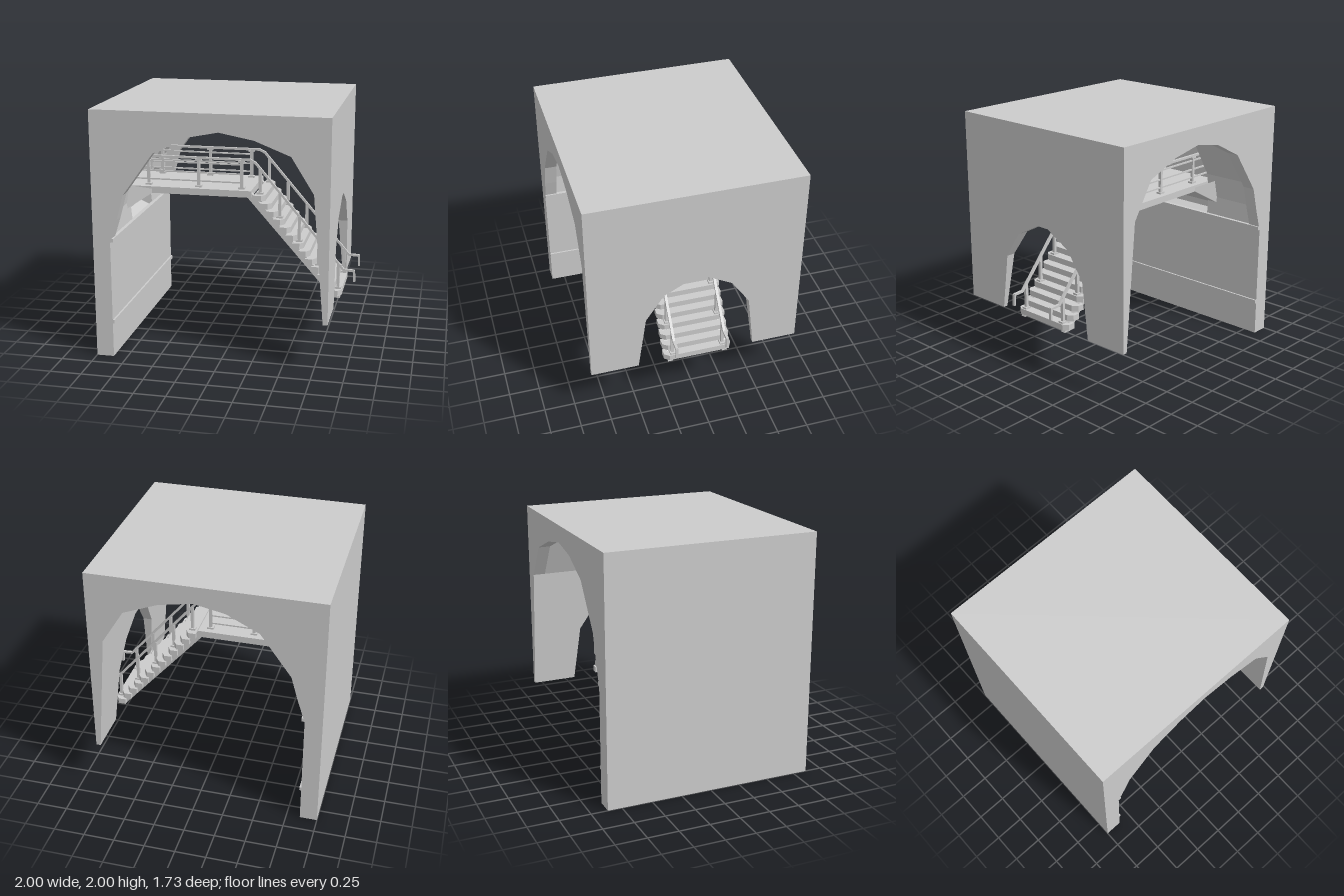
import * as THREE from 'three';

const mat = new THREE.MeshStandardMaterial({ color: 0xcccccc, flatShading: true, side: THREE.DoubleSide });

function add(parent, name, geo) {
  const m = new THREE.Mesh(geo, mat);
  m.name = name;
  parent.add(m);
  return m;
}

function box(parent, name, x0, x1, y0, y1, z0, z1) {
  const m = add(parent, name, new THREE.BoxGeometry(x1 - x0, y1 - y0, z1 - z0));
  m.position.set((x0 + x1) / 2, (y0 + y1) / 2, (z0 + z1) / 2);
  return m;
}

// Strip of quads between two point lists of equal length
function loft(parent, name, a, b) {
  const pos = [];
  for (let i = 0; i + 1 < a.length; i++)
    pos.push(...a[i], ...b[i], ...b[i + 1], ...a[i], ...b[i + 1], ...a[i + 1]);
  const g = new THREE.BufferGeometry();
  g.setAttribute('position', new THREE.Float32BufferAttribute(pos, 3));
  g.computeVertexNormals();
  return add(parent, name, g);
}

const shapeOf = pts => new THREE.Shape(pts.map(p => new THREE.Vector2(...p)));
const at = (pts, z) => pts.map(([x, y]) => [x, y, z]);
const sweep = (parent, name, pts, z0, z1) => loft(parent, name, at(pts, z0), at(pts, z1));

// Square bar between two points in the xy plane
function bar(parent, name, [x0, y0], [x1, y1], z, w) {
  const m = add(parent, name, new THREE.BoxGeometry(Math.hypot(x1 - x0, y1 - y0) + w * 0.5, w, w * 1.2));
  m.position.set((x0 + x1) / 2, (y0 + y1) / 2, z);
  m.rotation.z = Math.atan2(y1 - y0, x1 - x0);
}

const X0 = -1, X1 = 0.857, Z = 0.865, RIM = 0.765, FOOT = 0.4;
const ZA = -0.3, ZB = 0.27; // walkway edges

// Mouth of the tunnel, wider vault behind it, and the vault over the walkway
const mouth = [[-0.86, 0.95], [-0.8, 1.14], [-0.745, 1.34], [-0.5, 1.68], [-0.24, 1.81],
  [0.01, 1.86], [0.28, 1.81], [0.56, 1.7], [0.735, 1.42]];
const vault = [[-0.86, 0.95], [-0.88, 1.14], [-0.85, 1.34], [-0.6, 1.75], [-0.29, 1.9],
  [0.01, 1.93], [0.28, 1.88], [0.6, 1.74], [0.735, 1.42]];
const niche = [[-0.86, 0.95], [-0.97, 1.0], [-0.97, 1.34], [-0.97, 1.9], ...vault.slice(4)];
// Doorway outline in the stair wall, as z and y
const door = [[0.475, 0.4], [0.41, 0.87], [0.265, 1.09], [0.04, 1.21],
  [-0.07, 1.21], [-0.29, 1.09], [-0.44, 0.87], [-0.495, 0.4]];
const legX = y => 0.82 - (y - FOOT) * 0.0833; // inner face of the stair wall

function buildShell() {
  const g = new THREE.Group();
  g.name = 'tunnelShell';

  // End walls with the arched mouths
  const endShape = shapeOf([[X0, 0], [-0.86, 0], ...mouth, [0.82, FOOT], [X1, FOOT], [X1, 2], [X0, 2]]);
  for (const s of [1, -1]) {
    const end = add(g, s > 0 ? 'frontWall' : 'backWall', new THREE.ShapeGeometry(endShape));
    if (s < 0) { // reversed so that it faces outward
      const idx = end.geometry.index.array;
      for (let i = 0; i < idx.length; i += 3) [idx[i], idx[i + 1]] = [idx[i + 1], idx[i]];
      end.geometry.computeVertexNormals();
      const n = end.geometry.attributes.normal;
      for (let i = 0; i < n.count; i++) n.setZ(i, -1);
    }
    end.position.z = s * Z;
    // Rim of the mouth and the step up to the wider vault
    sweep(g, 'archRim', mouth, s * Z, s * RIM);
    loft(g, 'rimStep', at(mouth, s * RIM), at(vault, s * RIM));
  }

  // Roof, outer side wall, its underside and inner face
  sweep(g, 'roofAndSideWall', [[X1, 2], [X0, 2], [X0, 0], [-0.86, 0], [-0.86, 0.95]], Z, -Z);

  // Vault with the niche over the walkway
  sweep(g, 'vault', vault, RIM, ZB);
  sweep(g, 'vault', vault, ZA, -RIM);
  sweep(g, 'niche', niche, ZB, ZA);
  for (const z of [ZA, ZB]) loft(g, 'nicheSide', at(vault, z), at(niche, z));

  // Stair wall: outer and inner faces, doorway jamb and undersides
  const wallFace = (name, top, xOf) => {
    const geo = new THREE.ShapeGeometry(shapeOf([[Z, FOOT], [Z, top], [-Z, top], [-Z, FOOT], ...[...door].reverse()]));
    const p = geo.attributes.position;
    for (let i = 0; i < p.count; i++) p.setXYZ(i, xOf(p.getY(i)), p.getY(i), p.getX(i));
    geo.computeVertexNormals();
    add(g, name, geo);
  };
  wallFace('stairWallOuter', 2, () => X1);
  wallFace('stairWallInner', 1.42, legX);
  loft(g, 'doorJamb', door.map(([z, y]) => [X1, y, z]), door.map(([z, y]) => [legX(y), y, z]));
  for (const [a, b] of [[Z, door[0][0]], [door[7][0], -Z]])
    sweep(g, 'stairWallUnderside', [[0.82, FOOT], [X1, FOOT]], a, b);

  // Trim strips along the side wall
  box(g, 'upperTrim', -0.87, -0.835, 0.955, 0.985, -Z, Z);
  box(g, 'lowerTrim', -0.87, -0.845, 0.28, 0.31, -Z, Z);
  return g;
}

function buildWalkway() {
  const g = new THREE.Group();
  g.name = 'walkway';
  box(g, 'landing', -0.96, 0.14, 1.215, 1.27, -0.295, 0.265);

  // Flared bracket under the wall end of the landing
  const section = (x, lo, hi, za, zb) => [[x, hi, zb], [x, lo, zb], [x, lo, za], [x, hi, za]];
  loft(g, 'bracket', section(-0.69, 1.215, 1.25, -0.295, 0.265), section(-0.9, 1.08, 1.3, -0.4, 0.37));

  // Steps with clipped front corners
  const tread = new THREE.ExtrudeGeometry(
    shapeOf([[0, -0.265], [0.06, -0.265], [0.09, -0.225], [0.09, 0.25], [0.06, 0.295], [0, 0.295]]),
    { depth: 0.048, bevelEnabled: false }).rotateX(-Math.PI / 2);
  for (let i = 0; i < 13; i++)
    add(g, 'step', tread).position.set(0.163 + i * 0.0532, 1.187 - i * 0.0637, 0);

  // Stringers
  const stringer = new THREE.ExtrudeGeometry(
    shapeOf([[0.1, 1.215], [0.82, 0.4], [0.88, 0.4], [0.87, 0.43], [0.14, 1.245]]),
    { depth: 0.04, bevelEnabled: false });
  for (const z of [0.195, -0.265]) add(g, 'stringer', stringer).position.z = z;
  return g;
}

function buildRailing(z) {
  const g = new THREE.Group();
  g.name = 'railing';
  const path = [[-0.95, 1.513], [0.12, 1.513], [0.165, 1.49], [0.9, 0.632], [0.985, 0.628], [0.989, 0.54]];
  for (let i = 0; i + 1 < path.length; i++) bar(g, 'handrail', path[i], path[i + 1], z, 0.018);
  for (const y of [1.32, 1.39, 1.47]) bar(g, 'midRail', [-0.95, y], [0.05, y], z, 0.012);

  const post = (x, y0, y1) => {
    box(g, 'post', x - 0.012, x + 0.012, y0, y1, z - 0.012, z + 0.012);
    box(g, 'postBase', x - 0.027, x + 0.027, y0, y0 + 0.015, z - 0.022, z + 0.022);
  };
  for (const x of [-0.735, -0.31, 0.05]) {
    post(x, 1.27, 1.51);
    box(g, 'postCap', x - 0.025, x + 0.025, 1.492, 1.506, z - 0.016, z + 0.016);
  }
  // Stair posts, one on every third step
  for (let i = 0; i < 5; i++) {
    const x = 0.205 + i * 0.163;
    post(x, 1.235 - i * 0.191, 1.443 - i * 0.19);
  }
  return g;
}

export function createModel() {
  const model = new THREE.Group();
  model.name = 'tunnelWithStairs';
  model.add(buildShell(), buildWalkway(), buildRailing(0.195), buildRailing(-0.225));
  return model;
}
